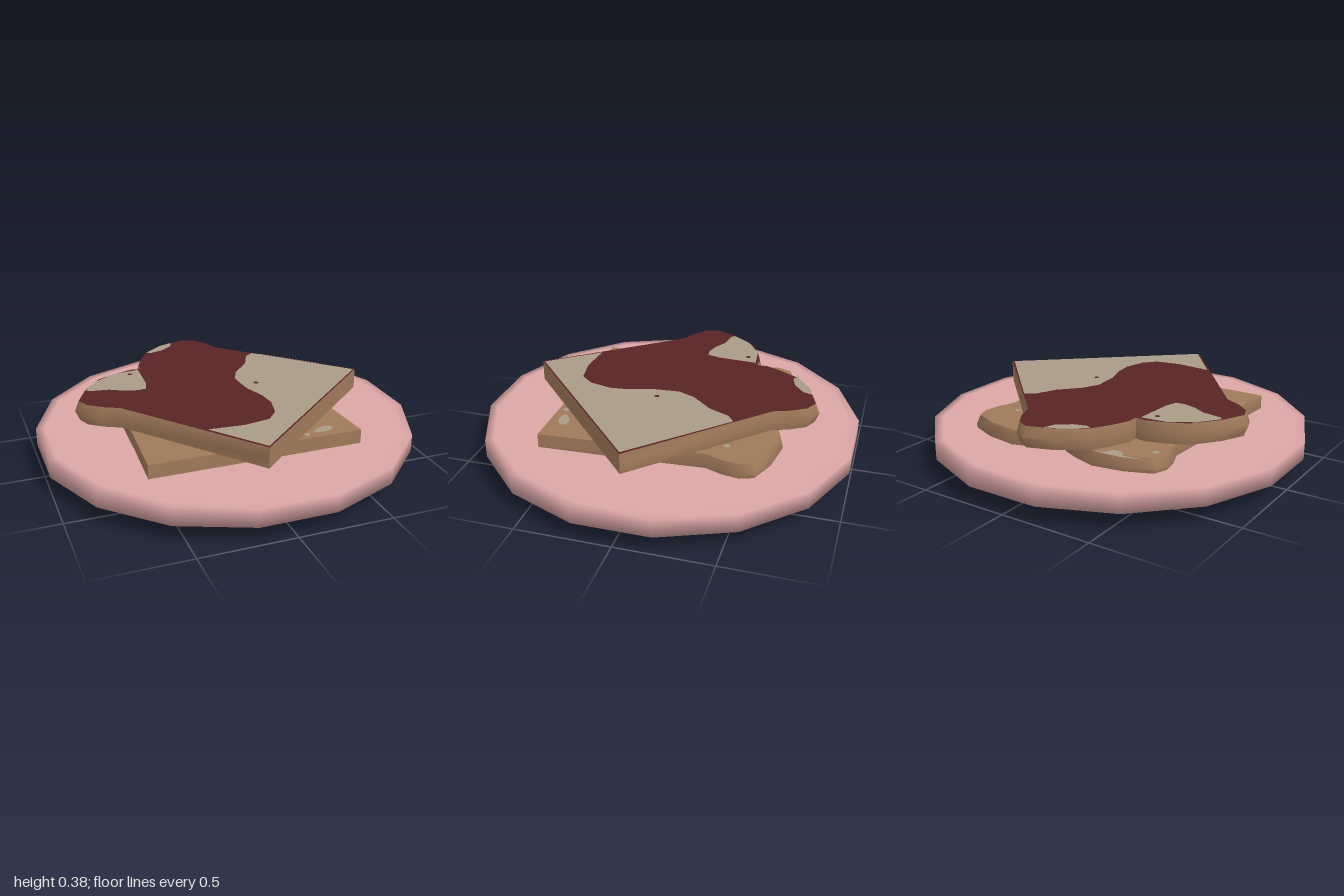
import * as THREE from 'three';
import { toCreasedNormals } from 'three/addons/utils/BufferGeometryUtils.js';

const mat = (name, color, side = THREE.FrontSide) => {
  const m = new THREE.MeshStandardMaterial({ color, side });
  m.name = name;
  return m;
};

// Half outline of a slice: straight base at z = 0, two lobes at the back
const HALF = [[0.568, 0], [0.53, -0.88], [0.565, -0.97], [0.58, -1.06], [0.553, -1.13],
  [0.42, -1.185], [0.25, -1.212], [0.13, -1.175], [0.04, -1.135]];
const OUTLINE = [...HALF, [0, -1.09], ...HALF.map(([x, z]) => [-x, z]).reverse()];
const INSET = OUTLINE.map(([x, z]) => (z === 0 ? [x, z] : [x * 0.97, z * 0.986]));

// Flat upward-facing patch from x,z points
function flat(points, y, smooth = false) {
  const v = points.map(([x, z]) => new THREE.Vector2(x, -z));
  const shape = new THREE.Shape(smooth ? new THREE.CatmullRomCurve3(
    v.map(p => new THREE.Vector3(p.x, p.y, 0)), true).getPoints(points.length * 5)
    .slice(0, -1).map(p => new THREE.Vector2(p.x, p.y)) : v);
  return new THREE.ShapeGeometry(shape).rotateX(-Math.PI / 2).translate(0, y, 0);
}

// Crust wall through three rings, bulging at mid height
function crust(thickness) {
  const rings = [[INSET, 0], [OUTLINE, thickness / 2], [INSET, thickness]];
  const pos = [], n = OUTLINE.length;
  for (let r = 0; r < 2; r++) {
    const [lo, y0] = rings[r], [hi, y1] = rings[r + 1];
    for (let i = 0; i < n; i++) {
      const j = (i + 1) % n;
      const a = [lo[i][0], y0, lo[i][1]], b = [lo[j][0], y0, lo[j][1]];
      const c = [hi[j][0], y1, hi[j][1]], d = [hi[i][0], y1, hi[i][1]];
      pos.push(...a, ...b, ...c, ...a, ...c, ...d);
    }
  }
  const g = new THREE.BufferGeometry();
  g.setAttribute('position', new THREE.Float32BufferAttribute(pos, 3));
  return toCreasedNormals(g, 0.9);
}

export function createModel() {
  const model = new THREE.Group();
  const pink = mat('plate pink', 0xdba6a5);
  const brown = mat('crust brown', 0xa07a5a);
  const crumb = mat('bread beige', 0xa99b86, THREE.DoubleSide);
  const jam = mat('jam red', 0x5a2426, THREE.DoubleSide);
  const add = (parent, name, geometry, material) => {
    const m = new THREE.Mesh(geometry, material);
    m.name = name;
    parent.add(m);
    return m;
  };

  // Sixteen-sided plate with a soft rim
  const profile = [[0, 0], [0.19, 0], [1.0196, 0.095], [1.0196, 0.19], [0.975, 0.19], [0, 0.19]]
    .map(([x, y]) => new THREE.Vector2(x, y));
  add(model, 'plate', new THREE.LatheGeometry(profile, 16).rotateY(Math.PI / 16), pink);

  // Two slices of the same shape, the upper one turned
  const T = 0.11;
  const slice = (name, x, y, z, turn, topMaterial) => {
    const g = new THREE.Group();
    g.name = name;
    g.position.set(x, y, z);
    g.rotation.y = turn;
    add(g, 'crust', crust(T), brown);
    add(g, 'topFace', flat(INSET, T), topMaterial);
    add(g, 'bottomFace', flat(INSET.map(([u, v]) => [-u, v]), 0).rotateZ(Math.PI), brown);
    model.add(g);
  };
  slice('lowerSlice', -0.022, 0.155, 0.555, 0, brown);
  slice('upperSlice', 0.36, 0.264, 0.405, 0.729, jam);

  // Bare bread showing around the jam on the upper slice
  const top = 0.376;
  add(model, 'bareBreadFront', flat([[0.33, -0.415], [0.28, -0.38], [0.23, -0.27], [0.13, -0.16],
    [0.09, -0.07], [0.1, 0.08], [0.14, 0.2], [0.15, 0.3], [0.12, 0.42], [0.06, 0.49],
    [-0.08, 0.515], [-0.27, 0.5], [-0.06, 0.77], [0.77, 0.03]], top), crumb);
  add(model, 'bareBreadLobe', flat([[-0.7, -0.17], [-0.6, -0.155], [-0.53, -0.115], [-0.46, -0.095],
    [-0.41, -0.1], [-0.39, -0.17], [-0.378, -0.385], [-0.52, -0.37], [-0.64, -0.295],
    [-0.72, -0.19]], top), crumb);
  add(model, 'bareBreadBack', flat([[-0.26, -0.64], [-0.15, -0.725], [-0.07, -0.755], [-0.09, -0.7],
    [-0.16, -0.645], [-0.23, -0.625]], top), crumb);

  // Small jam drops
  for (const [x, z] of [[-0.44, -0.33], [0.175, 0.03]])
    add(model, 'jamDrop', new THREE.CircleGeometry(0.014, 8).rotateX(-Math.PI / 2)
      .translate(x, top + 0.002, z), jam);

  // Pale patches on the lower slice
  const low = 0.267;
  add(model, 'palePatchBack', flat([[-0.54, -0.605], [-0.42, -0.642], [-0.28, -0.65], [-0.33, -0.63],
    [-0.35, -0.585], [-0.4, -0.585], [-0.43, -0.62]], low), crumb);
  add(model, 'palePatchFront', flat([[0.31, 0.5], [0.34, 0.465], [0.4, 0.45], [0.42, 0.475],
    [0.38, 0.51]], low, true), crumb);
  for (const [x, z] of [[-0.535, -0.5], [0.39, -0.4], [0.26, 0.515]])
    add(model, 'paleSpot', new THREE.CircleGeometry(0.017, 8).rotateX(-Math.PI / 2)
      .translate(x, low, z), crumb);

  return model;
}
